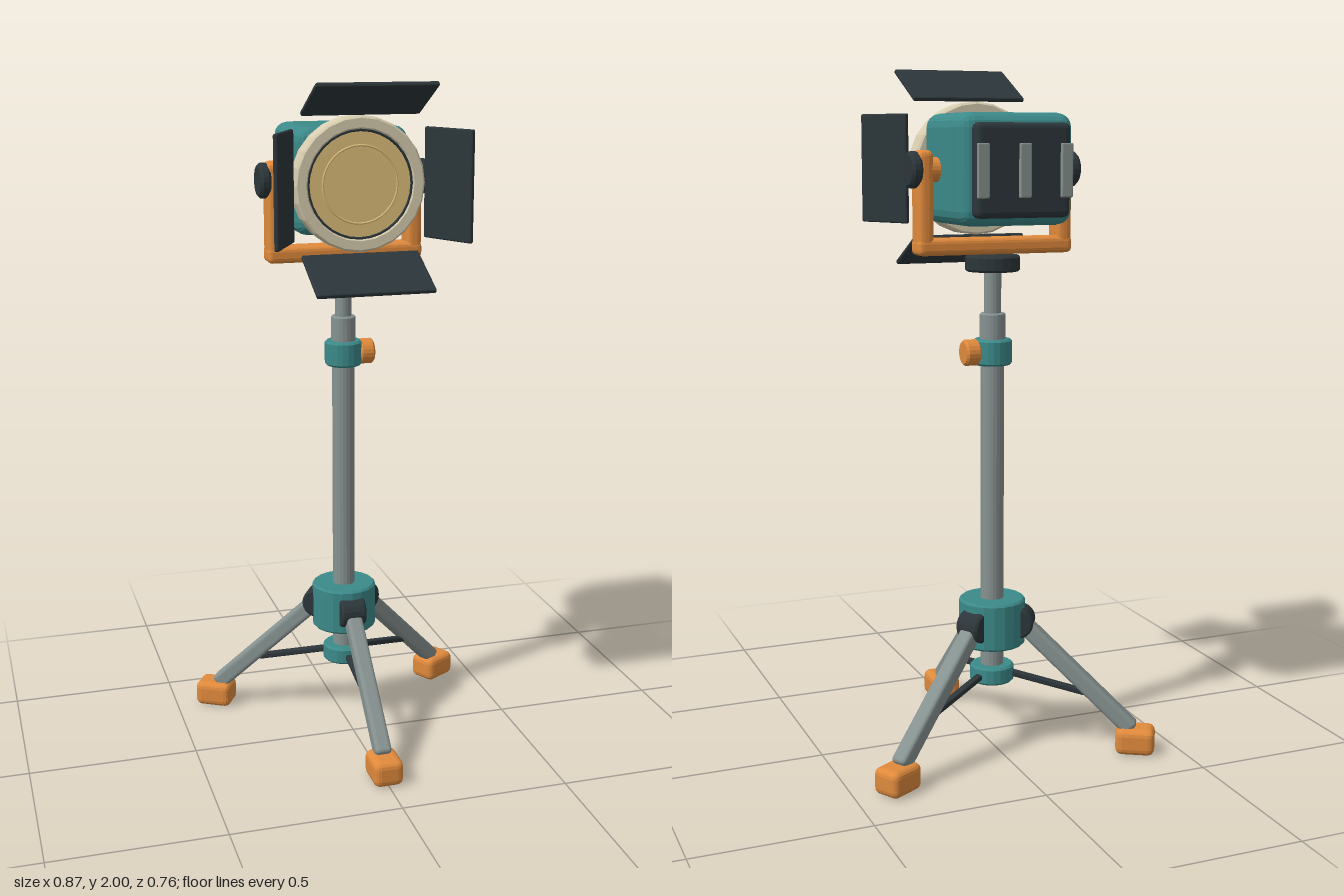
import * as THREE from 'three';
import { RoundedBoxGeometry } from 'three/addons/geometries/RoundedBoxGeometry.js';

const paint = (color, flatShading = false) => new THREE.MeshStandardMaterial({ color, flatShading });
const teal = paint(0x3c8a8a, true), orange = paint(0xe08a3c, true), steel = paint(0x869290, true);
const dark = paint(0x2c363a, true), cream = paint(0xd8cdb0, true), amber = paint(0xe0bf7c);

const AXIS_Z = -0.105; // centre line of the stand
const HEAD_Y = 1.715; // tilt axis of the lamp head

function add(parent, name, geometry, material, x = 0, y = 0, z = 0) {
  const mesh = new THREE.Mesh(geometry, material);
  mesh.name = name;
  mesh.position.set(x, y, z);
  parent.add(mesh);
  return mesh;
}

const block = (w, h, d, r, segments = 2) => new RoundedBoxGeometry(w, h, d, segments, r);

// Solid disc or post with small bevels, centred on the origin along y
function drum(r, h, bevel = 0.006, sides = 20) {
  const t = h / 2;
  return new THREE.LatheGeometry([
    [0, -t], [r - bevel, -t], [r, -t + bevel], [r, t - bevel], [r - bevel, t], [0, t],
  ].map(([a, b]) => new THREE.Vector2(a, b)), sides);
}

// Bar running between two points of the radial (y, z) plane
function bar(parent, name, material, y0, z0, y1, z1, w, h, r) {
  const length = Math.hypot(y1 - y0, z1 - z0);
  const mesh = add(parent, name, block(w, h, length, r), material, 0, (y0 + y1) / 2, (z0 + z1) / 2);
  mesh.rotation.x = -Math.atan2(y1 - y0, z1 - z0);
  return mesh;
}

function createStand() {
  const stand = new THREE.Group();
  stand.name = 'stand';
  stand.position.z = AXIS_Z;

  // Telescopic column
  add(stand, 'lowerTube', drum(0.034, 1.0, 0.004), steel, 0, 0.72);
  add(stand, 'middleTube', drum(0.037, 0.1, 0.004), steel, 0, 1.26);
  add(stand, 'upperTube', drum(0.025, 0.16, 0.003), steel, 0, 1.37);
  add(stand, 'heightCollar', drum(0.056, 0.075), teal, 0, 1.198);
  add(stand, 'heightKnob', drum(0.038, 0.045), orange, 0.068, 1.198).rotation.z = Math.PI / 2;
  add(stand, 'legHub', drum(0.098, 0.14), teal, 0, 0.395);
  add(stand, 'spreaderCollar', drum(0.065, 0.052), teal, 0, 0.235);
  add(stand, 'panBase', drum(0.079, 0.046), dark, 0, 1.452);

  // Three legs with hinge, spreader and foot
  for (let i = 0; i < 3; i++) {
    const leg = new THREE.Group();
    leg.name = 'leg' + (i + 1);
    leg.rotation.y = (i * Math.PI * 2) / 3;
    add(leg, 'hinge', drum(0.046, 0.078), dark, 0, 0.395, 0.08).rotation.z = Math.PI / 2;
    bar(leg, 'legTube', steel, 0.4, 0.08, 0.076, 0.42, 0.05, 0.05, 0.012);
    bar(leg, 'spreader', dark, 0.235, 0.05, 0.182, 0.28, 0.022, 0.018, 0.005);
    add(leg, 'foot', block(0.09, 0.078, 0.115, 0.02), orange, 0, 0.044, 0.43);
    stand.add(leg);
  }
  return stand;
}

function createYoke() {
  const yoke = new THREE.Group();
  yoke.name = 'yoke';
  yoke.position.z = AXIS_Z;
  add(yoke, 'yokeBase', block(0.468, 0.048, 0.076, 0.015), orange, 0, 1.502);
  for (const s of [-1, 1]) {
    add(yoke, 'yokeArm', block(0.046, 0.288, 0.074, 0.017), orange, s * 0.21, 1.625);
    add(yoke, 'pivot', drum(0.034, 0.06), orange, s * 0.18, HEAD_Y).rotation.z = Math.PI / 2;
    add(yoke, 'tiltKnob', drum(0.051, 0.032, 0.008), dark, s * 0.239, HEAD_Y).rotation.z = Math.PI / 2;
  }
  return yoke;
}

function createHead() {
  const head = new THREE.Group();
  head.name = 'lampHead';
  head.position.y = HEAD_Y;
  add(head, 'housing', block(0.335, 0.305, 0.306, 0.04), teal, 0, 0.002, -0.141);

  // Rear cover with three vent bars
  add(head, 'rearCover', block(0.276, 0.254, 0.05, 0.016), dark, 0, 0, -0.305);
  for (const x of [-0.122, 0, 0.122]) {
    add(head, 'ventBar', block(0.034, 0.146, 0.014, 0.004), steel, x, 0, -0.334);
  }

  // Bezel ring, lens and lens rings
  const bezel = [
    [0.152, 0.012], [0.184, 0.012], [0.19, 0.018], [0.19, 0.072], [0.184, 0.078], [0.158, 0.078],
    [0.152, 0.072], [0.152, 0.012],
  ].map(([r, z]) => new THREE.Vector2(r, z));
  add(head, 'bezel', new THREE.LatheGeometry(bezel, 24), cream).rotation.x = Math.PI / 2;
  add(head, 'lens', new THREE.CylinderGeometry(0.152, 0.152, 0.06, 32), amber, 0, 0, 0.042).rotation.x = Math.PI / 2;
  add(head, 'lensSeal', new THREE.TorusGeometry(0.151, 0.004, 6, 32), dark, 0, 0, 0.072);
  add(head, 'lensRing', new THREE.TorusGeometry(0.109, 0.003, 6, 32), amber, 0, 0, 0.072);

  // Four flared barn doors: top and bottom, then the sides
  for (const s of [-1, 1]) {
    bar(head, s > 0 ? 'topDoor' : 'bottomDoor', dark, s * 0.196, 0.07, s * 0.282, 0.24, 0.344, 0.014, 0.005);
    const side = add(head, 'sideDoor', block(0.014, 0.312, 0.18, 0.005), dark, s * 0.237, 0, 0.142);
    side.rotation.y = s * Math.atan2(0.082, 0.156);
  }
  return head;
}

export function createModel() {
  const model = new THREE.Group();
  model.name = 'studioLamp';
  model.add(createStand(), createYoke(), createHead());
  return model;
}
